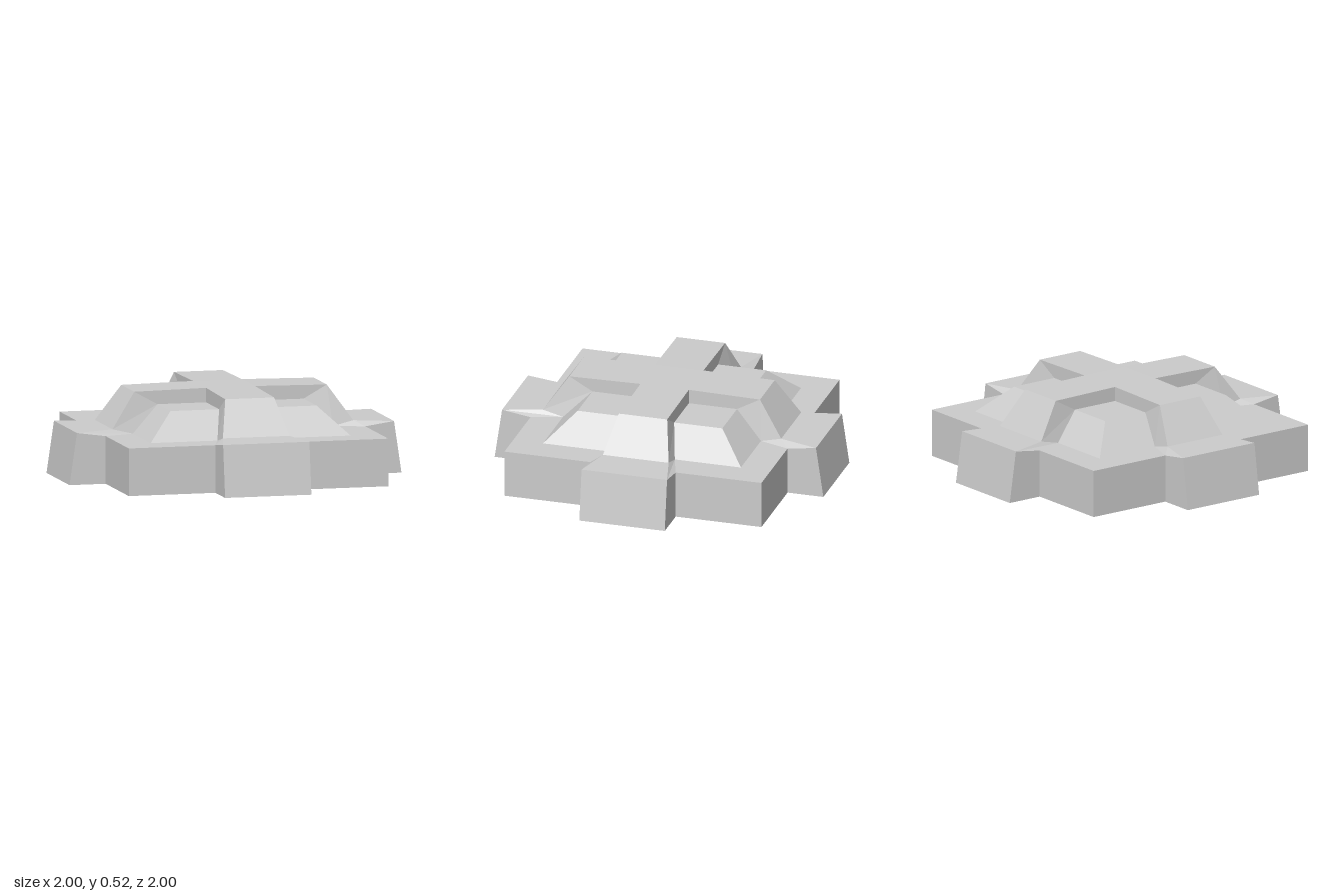
import * as THREE from 'three';

const material = new THREE.MeshStandardMaterial({ color: 0xcccccc, flatShading: true });

// Flat-shaded geometry from a list of quads (counter-clockwise from outside)
function quadGeometry(quads) {
  const pos = quads.flatMap(([a, b, c, d]) => [a, b, c, a, c, d].flat());
  const geo = new THREE.BufferGeometry();
  geo.setAttribute('position', new THREE.Float32BufferAttribute(pos, 3));
  geo.computeVertexNormals();
  return geo;
}

// Square block whose top may be smaller than its bottom
function taperedBlock(name, bottom, top, y0, y1) {
  const geo = new THREE.BoxGeometry(2, y1 - y0, 2).toNonIndexed();
  geo.translate(0, (y0 + y1) / 2, 0);
  const p = geo.attributes.position;
  for (let i = 0; i < p.count; i++) {
    const half = p.getY(i) > (y0 + y1) / 2 ? top : bottom;
    p.setX(i, p.getX(i) * half);
    p.setZ(i, p.getZ(i) * half);
  }
  geo.computeVertexNormals();
  const mesh = new THREE.Mesh(geo, material);
  mesh.name = name;
  return mesh;
}

// One rib running from the centre outwards along +z, flaring into a foot
function armGeometry() {
  const upper = [[0.147, 0.525, 0.147], [0.147, 0.518, 0.58], [0.2, 0.31, 0.725], [0.26, 0.305, 0.955]];
  const lower = [[0.147, 0.44, 0.147], [0.147, 0.44, 0.44], [0.2, 0.28, 0.602], [0.26, 0.28, 0.782]];
  const toe = [0.26, 0, 1], heel = [0.26, 0, 0.782];
  const mirror = ([x, y, z]) => [-x, y, z];
  const quads = [];

  // Flanks, mirrored left and right
  const flanks = [0, 1, 2].map(i => [lower[i], upper[i], upper[i + 1], lower[i + 1]]);
  flanks.push([heel, lower[3], upper[3], toe]);
  for (const f of flanks) quads.push(f, f.map(mirror).reverse());

  // Spine: top, slope, foot top, front and underside
  const spine = [...upper, toe, heel];
  for (let i = 0; i < spine.length - 1; i++) {
    const a = spine[i], b = spine[i + 1];
    quads.push([mirror(a), mirror(b), b, a]);
  }
  return quadGeometry(quads);
}

export function createModel() {
  const model = new THREE.Group();
  model.name = 'crossRibbedBlock';

  model.add(taperedBlock('base', 0.782, 0.782, 0, 0.28));
  model.add(taperedBlock('taperedTop', 0.602, 0.44, 0.28, 0.44));

  // Flat centre where the ribs meet
  model.add(taperedBlock('crossCentre', 0.147, 0.147, 0.44, 0.525));

  // Four identical ribs
  const arm = armGeometry();
  ['front', 'left', 'back', 'right'].forEach((side, i) => {
    const mesh = new THREE.Mesh(arm, material);
    mesh.name = side + 'Rib';
    mesh.rotation.y = i * Math.PI / 2;
    model.add(mesh);
  });
  return model;
}
